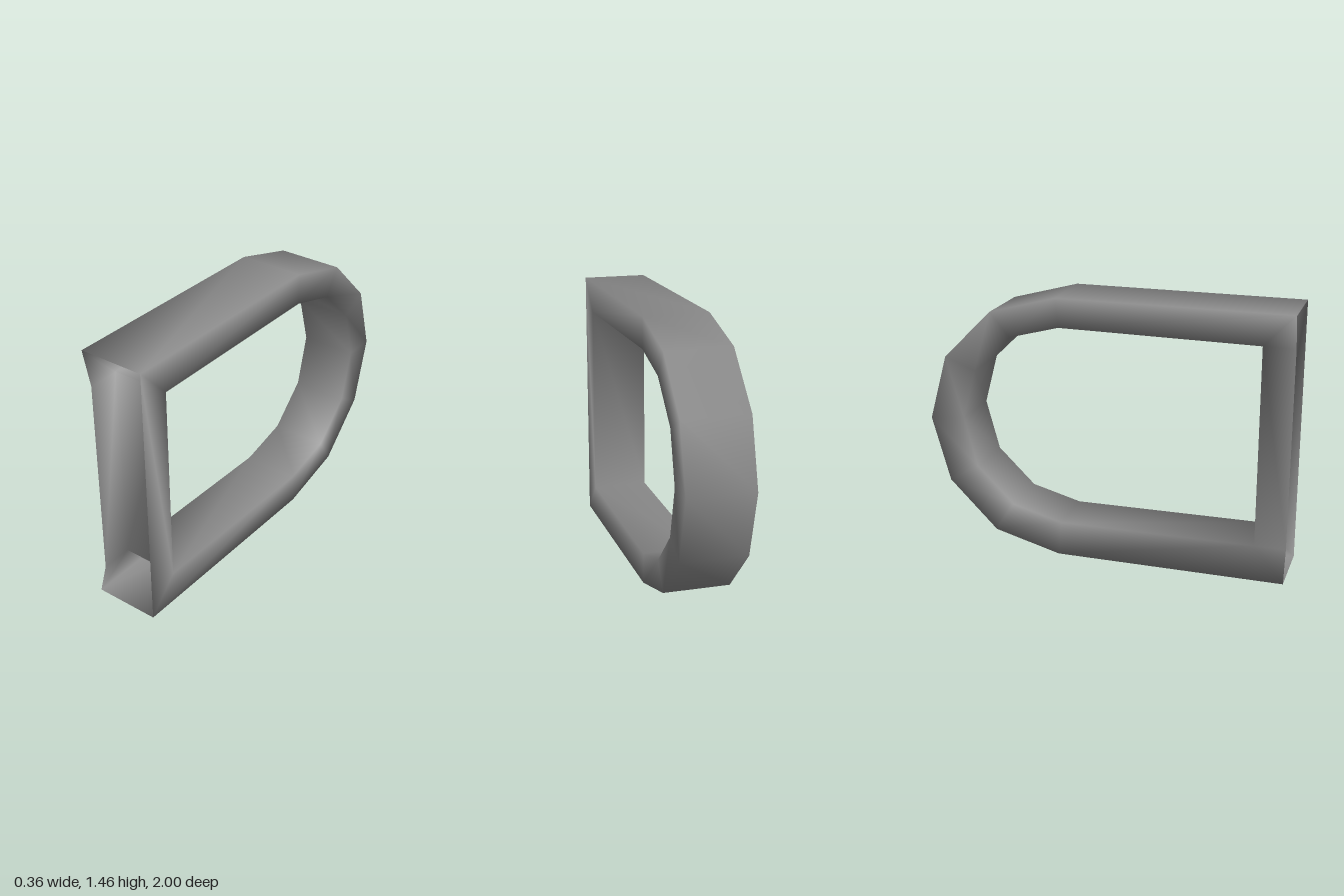
import * as THREE from 'three';

export function createModel() {
  const group = new THREE.Group();
  group.name = 'dRing';
  const grey = new THREE.MeshStandardMaterial({ color: 0x8a8a8a, side: THREE.DoubleSide });
  grey.name = 'grey';

  // Upper half of the D outline: outer z, outer y, inner z, inner y
  const mid = 0.73;
  const upper = [
    [1, 1.46, 0.83, 1.28],
    [-0.26, 1.46, -0.26, 1.29],
    [-0.63, 1.36, -0.54, 1.215],
    [-0.9, 1.09, -0.75, 1.01],
  ];
  const flip = ([oz, oy, iz, iy]) => [oz, 2 * mid - oy, iz, 2 * mid - iy];
  const stations = [...upper, [-1, mid, -0.825, mid], ...upper.map(flip).reverse()];

  // Each section: outer +x, outer -x, inner -x (set in), inner +x
  const pos = [], index = [];
  for (const [oz, oy, iz, iy] of stations) {
    pos.push(0.18, oy, oz, -0.18, oy, oz, -0.135, iy, iz, 0.18, iy, iz);
  }
  const quad = (a, b, c, d) => index.push(a, b, c, a, c, d);
  const last = stations.length - 1;
  const at = (i, k) => i * 4 + (k % 4);
  for (let i = 0; i < last; i++) {
    for (let k = 0; k < 4; k++) quad(at(i, k), at(i + 1, k), at(i + 1, k + 1), at(i, k + 1));
  }

  // Front bar: a channel open to the front, with its -x wall set in
  for (const k of [2, 3]) quad(at(last, k), at(0, k), at(0, k + 1), at(last, k + 1));
  const pTop = pos.length / 3, pBottom = pTop + 1;
  pos.push(-0.135, 1.28, 1, -0.135, 0.18, 1);
  quad(pBottom, pTop, at(0, 2), at(last, 2));
  index.push(at(0, 1), at(0, 2), pTop, at(last, 1), pBottom, at(last, 2));

  const geometry = new THREE.BufferGeometry();
  geometry.setAttribute('position', new THREE.Float32BufferAttribute(pos, 3));
  geometry.setIndex(index);
  geometry.computeVertexNormals();
  const loop = new THREE.Mesh(geometry, grey);
  loop.name = 'hollowLoop';
  group.add(loop);
  return group;
}
